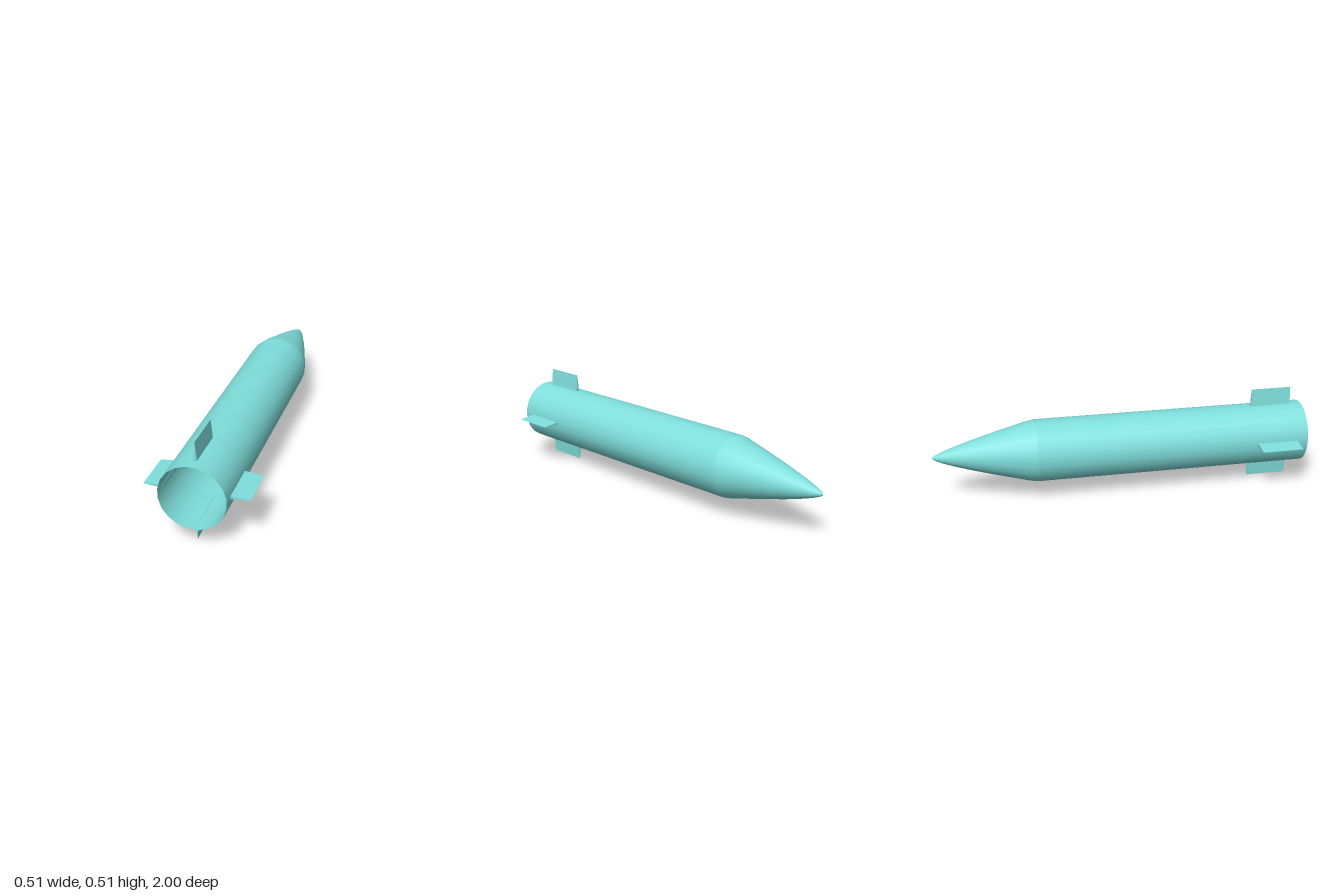
import * as THREE from 'three';

const AXIS_Y = 0.257;   // height of the long axis
const RADIUS = 0.165;
const SIDES = 20;

const skin = new THREE.MeshStandardMaterial({ color: 0x7fdfdc, side: THREE.DoubleSide });

// Shell of revolution along -z, with a flat facet facing straight up
function shell(name, profile) {
  const points = profile.map(([r, d]) => new THREE.Vector2(r, d));
  const geometry = new THREE.LatheGeometry(points, SIDES, Math.PI / SIDES);
  geometry.rotateX(-Math.PI / 2);
  const mesh = new THREE.Mesh(geometry, skin);
  mesh.name = name;
  return mesh;
}

export function createModel() {
  const model = new THREE.Group();
  model.name = 'rocket';

  const hull = new THREE.Group();
  hull.name = 'hull';
  hull.position.y = AXIS_Y;
  model.add(hull);

  // Open-ended tube
  hull.add(shell('body', [[RADIUS, -1], [RADIUS, 0.46]]));

  // Rounded shoulder running to a small blunt tip
  hull.add(shell('noseCone', [
    [RADIUS, 0.46], [0.158, 0.5], [0.132, 0.6], [0.106, 0.7], [0.078, 0.8],
    [0.047, 0.9], [0.029, 0.95], [0.016, 0.98], [0.008, 0.994], [0, 1],
  ]));

  // Four wedge fins, tapering to a sharp outer edge
  const section = new THREE.Shape([
    new THREE.Vector2(0.161, -0.009),
    new THREE.Vector2(0.257, 0),
    new THREE.Vector2(0.161, 0.009),
  ]);
  const finGeometry = new THREE.ExtrudeGeometry(section, { depth: 0.22, bevelEnabled: false });
  finGeometry.translate(0, 0, 0.72);
  ['leftFin', 'topFin', 'rightFin', 'bottomFin'].forEach((name, i) => {
    const fin = new THREE.Mesh(finGeometry, skin);
    fin.name = name;
    fin.rotation.z = (i * Math.PI) / 2;
    hull.add(fin);
  });

  return model;
}
